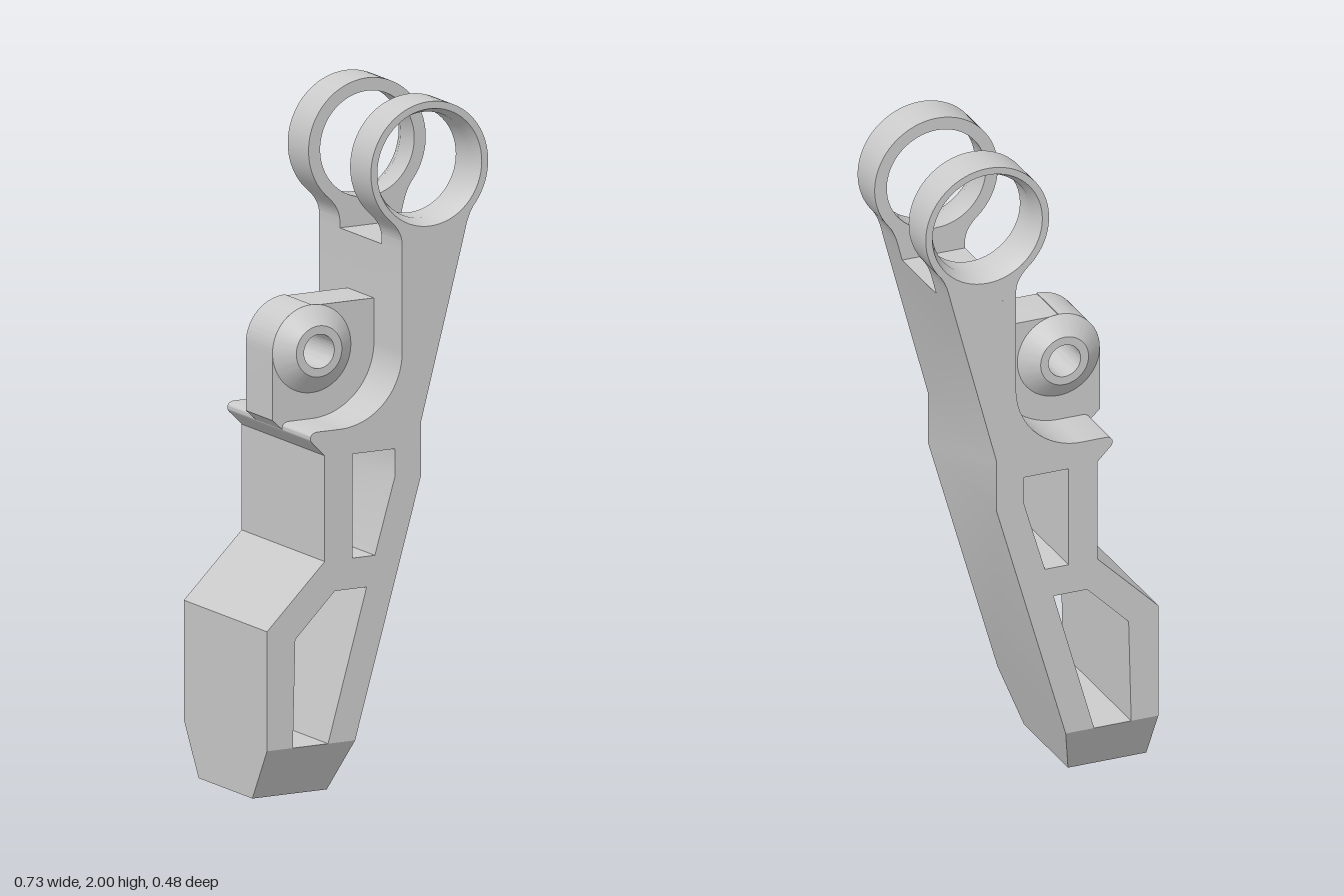
import * as THREE from 'three';
import { toCreasedNormals } from 'three/addons/utils/BufferGeometryUtils.js';

const HALF = 0.24;          // half depth of the link
const GAP = 0.12;           // half width of the fork gap
const SPLIT = 1.57;         // floor of the fork gap
const FOOT = 0.155;         // top of the bevelled foot
const EYE = { x: 0.17, y: 1.807 };
const PIN = { x: -0.125, y: 1.277 };
const rad = THREE.MathUtils.degToRad;

export function createModel() {
  const group = new THREE.Group();
  const material = new THREE.MeshStandardMaterial({ color: 0xcccccc });

  function add(name, geometry) {
    const mesh = new THREE.Mesh(toCreasedNormals(geometry, 0.5), material);
    mesh.name = name;
    group.add(mesh);
  }
  const points = (list) => list.map(([x, y]) => new THREE.Vector2(x, y));
  function extrude(shape, z0, z1) {
    const g = new THREE.ExtrudeGeometry(shape, { depth: z1 - z0, bevelEnabled: false, curveSegments: 32 });
    return g.translate(0, 0, z0);
  }
  function circleHole(c, r) {
    return new THREE.Path().absarc(c.x, c.y, r, 0, Math.PI * 2, true);
  }
  // Lathe turned so its axis lies along z (dir = 1 or -1)
  function turned(profile, c, dir) {
    return new THREE.LatheGeometry(points(profile), 64)
      .rotateX(dir * Math.PI / 2).translate(c.x, c.y, 0);
  }

  // Main body, with the lower window open down to the foot
  const body = new THREE.Shape();
  body.moveTo(-0.075, FOOT);
  body.lineTo(0.142, 0.907);
  body.lineTo(0.142, 1.065);
  body.lineTo(0.277, SPLIT);
  body.lineTo(0.08, SPLIT);
  body.lineTo(0.08, PIN.y);
  body.absarc(PIN.x, PIN.y, 0.205, 0, -Math.PI / 2, true);
  body.lineTo(-0.2, 1.072);
  body.bezierCurveTo(-0.222, 1.072, -0.23, 1.052, -0.213, 1.038);
  [[-0.175, 1.0], [-0.175, 0.69], [-0.365, 0.505], [-0.365, FOOT],
    [-0.28, FOOT], [-0.272, 0.472], [-0.142, 0.6], [-0.037, 0.6], [-0.164, FOOT]]
    .forEach(([x, y]) => body.lineTo(x, y));
  body.holes.push(new THREE.Path(points([
    [-0.084, 0.995], [-0.084, 0.69], [-0.01, 0.69], [0.056, 0.913], [0.056, 0.995]])));
  add('body', extrude(body, -HALF, HALF));

  // Foot: a box narrowed towards the ground
  const foot = new THREE.BoxGeometry(1, 1, 1);
  const p = foot.attributes.position;
  for (let i = 0; i < p.count; i++) {
    const low = p.getY(i) < 0;
    p.setXYZ(i,
      p.getX(i) < 0 ? -0.365 : low ? -0.12 : -0.075,
      low ? 0 : FOOT,
      Math.sign(p.getZ(i)) * (low ? 0.155 : HALF));
  }
  add('foot', foot);

  // Fork arms ending in filleted eyes, with a tapered bore on the outer side
  const arm = new THREE.Shape();
  arm.moveTo(0.08, SPLIT);
  arm.lineTo(0.277, SPLIT);
  arm.lineTo(0.291, 1.625);
  arm.quadraticCurveTo(0.302, 1.664, 0.318, 1.683);
  arm.absarc(EYE.x, EYE.y, 0.193, rad(-40), rad(228), false);
  arm.quadraticCurveTo(0.08, 1.629, 0.08, 1.59);
  arm.holes.push(circleHole(EYE, 0.172));
  for (const [side, dir] of [['front', 1], ['back', -1]]) {
    add(side + 'ForkArm', dir > 0 ? extrude(arm, GAP, HALF) : extrude(arm, -HALF, -GAP));
    add(side + 'EyeBore', turned([[0.172, HALF], [0.155, 0.2], [0.155, GAP], [0.172, GAP]], EYE, dir));
  }

  // Pivot lug with a rounded corner
  const lug = new THREE.Shape();
  lug.moveTo(0.1, 1.03);
  lug.lineTo(0.1, 1.403);
  lug.lineTo(PIN.x, PIN.y + 0.126);
  lug.absarc(PIN.x, PIN.y, 0.129, Math.PI / 2, Math.PI, false);
  lug.lineTo(-0.254, 1.08);
  lug.lineTo(-0.2, 1.03);
  lug.holes.push(circleHole(PIN, 0.06));
  add('pivotLug', extrude(lug, -0.077, 0.077));

  // Conical bosses on both faces of the lug, joined by the pin bore
  add('pivotBoss', turned([
    [0.129, 0.077], [0.075, GAP], [0.05, GAP], [0.05, -GAP], [0.075, -GAP], [0.129, -0.077]], PIN, 1));

  return group;
}
